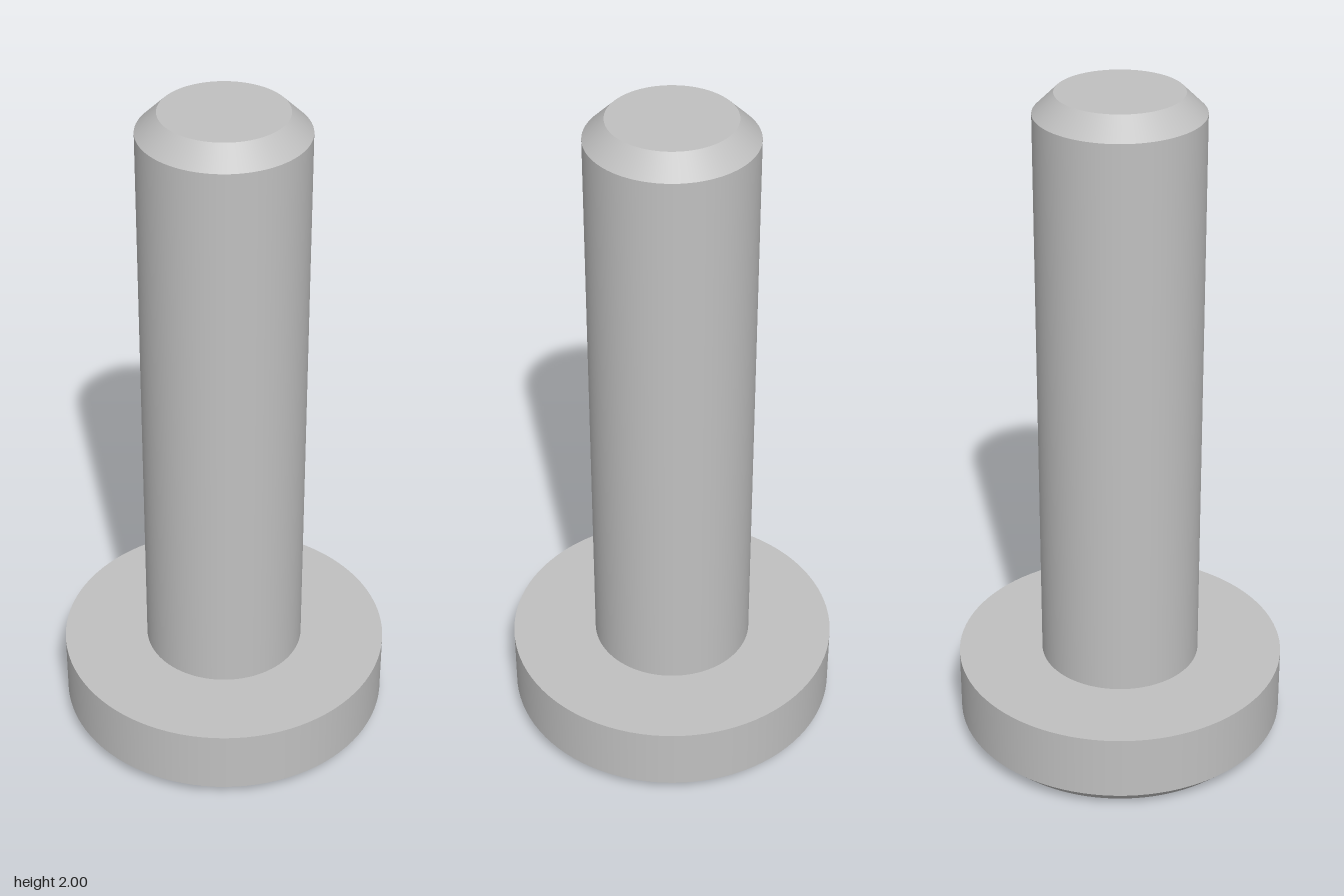
import * as THREE from 'three';

const SEGMENTS = 96;

export function createModel() {
  const group = new THREE.Group();
  group.name = 'bolt';
  const steel = new THREE.MeshStandardMaterial({ color: 0xc0c0c0 });
  steel.name = 'steel grey';

  // Each band is turned on its own, so the edges between bands stay sharp
  const addBands = (name, profile) => {
    const part = new THREE.Group();
    part.name = name;
    for (let i = 0; i < profile.length - 1; i++) {
      const points = [profile[i], profile[i + 1]].map(([r, y]) => new THREE.Vector2(r, y));
      const band = new THREE.Mesh(new THREE.LatheGeometry(points, SEGMENTS), steel);
      band.name = `${name}Band${i + 1}`;
      part.add(band);
    }
    group.add(part);
  };

  // Head: flat bottom, chamfer, rim, and a flat shoulder up to the shaft
  addBands('head', [[0, 0], [0.435, 0], [0.485, 0.05], [0.485, 0.245], [0.235, 0.245]]);

  // Shaft: plain cylinder with a chamfered flat tip
  addBands('shaft', [[0.235, 0.245], [0.235, 1.942], [0.176, 2], [0, 2]]);

  return group;
}
